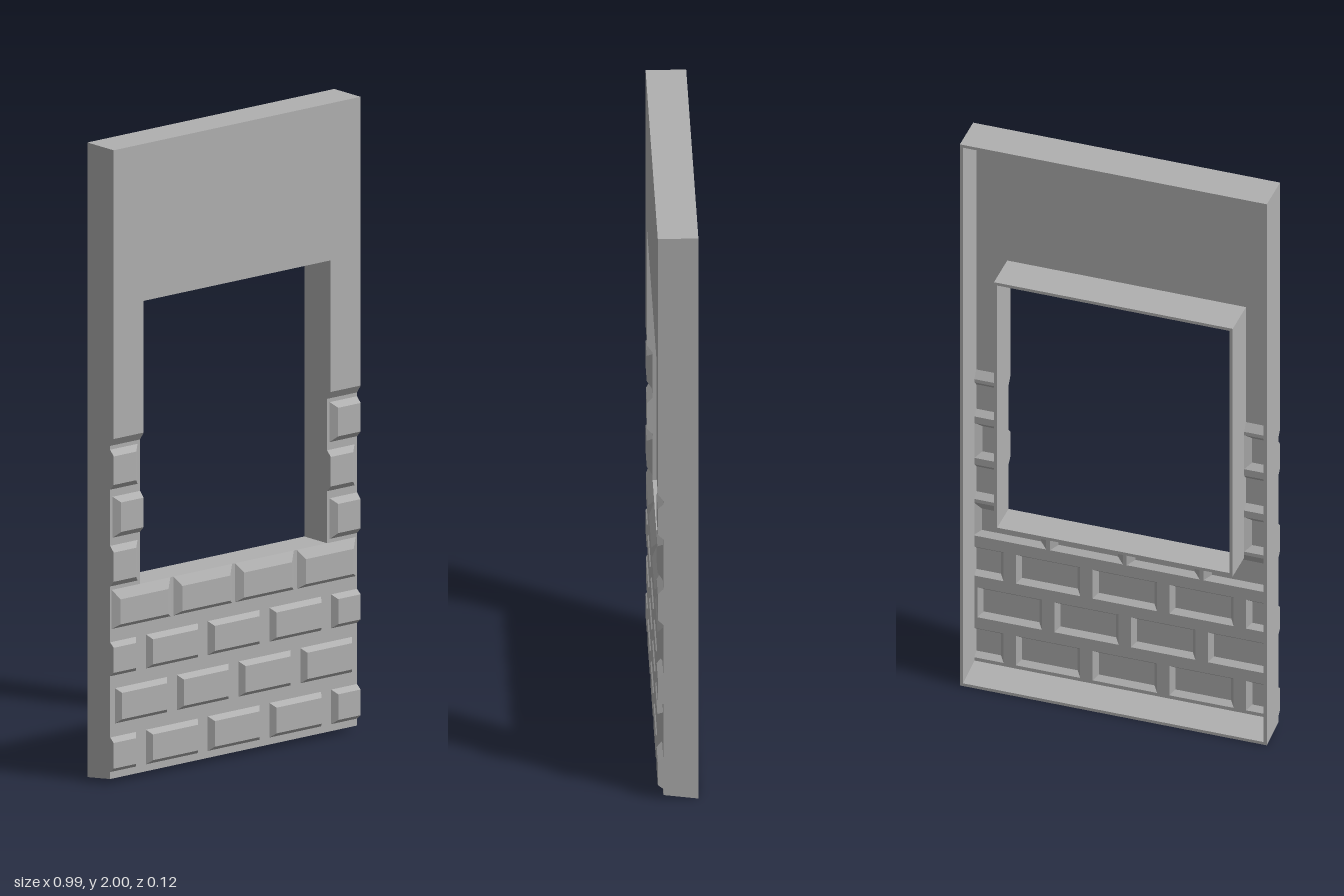
import * as THREE from 'three';

const W = 0.495, B = -0.062, F = 0.062, M = 0.045; // half width, back, brick face, mortar depth
const WX = 0.375, SILL = 0.61, HEAD = 1.505;       // window opening
const TH = 0.01;                                   // shell thickness

export function createModel() {
  const group = new THREE.Group();
  const stone = new THREE.MeshStandardMaterial({ color: 0xb0b0b0, side: THREE.DoubleSide });
  stone.name = 'grey stone';

  const add = (geometry, name) => {
    const mesh = new THREE.Mesh(geometry, stone);
    mesh.name = name;
    group.add(mesh);
  };

  // Builds a flat-shaded sheet from four-cornered faces
  const sheet = (quads, name) => {
    const pos = [];
    for (const [a, b, c, d] of quads) pos.push(...a, ...b, ...c, ...a, ...c, ...d);
    const g = new THREE.BufferGeometry();
    g.setAttribute('position', new THREE.Float32BufferAttribute(pos, 3));
    g.computeVertexNormals();
    add(g, name);
  };

  const corners = ([l, b, r, t], z) => [[l, b, z], [r, b, z], [r, t, z], [l, t, z]];
  const inset = ([l, b, r, t], m) => [l + m[0], b + m[1], r - m[2], t - m[3]];

  // One brick cell: mortar frame, sloped edge and raised face, open behind
  const brick = (cell, margin, slope) => {
    const base = inset(cell, margin), top = inset(base, slope);
    const quads = [corners(top, F)];
    const ring = (p, q, width) => {
      for (let i = 0; i < 4; i++) {
        const j = (i + 1) % 4;
        if (width[(i + 1) % 4] > 0) quads.push([p[i], p[j], q[j], q[i]]);
      }
    };
    ring(corners(cell, M), corners(base, M), margin);
    ring(corners(base, M), corners(top, F), slope);
    return quads;
  };

  // Lower brick courses
  const ys = [0.015, 0.165, 0.317, 0.465, SILL];
  const step = W / 2;
  for (let row = 0; row < 4; row++) {
    const quads = [];
    const shifted = row % 2 === 0, sill = row === 3;
    const mx = sill ? 0.006 : 0.02, sx = sill ? 0.022 : 0.014;
    for (let i = 0; i < (shifted ? 5 : 4); i++) {
      const start = -W + (i - (shifted ? 0.5 : 0)) * step;
      const l = Math.max(-W, start), r = Math.min(W, start + step);
      const cutL = shifted && i === 0, cutR = shifted && i === 4;
      const margin = [cutL ? 0 : mx, 0.022, cutR ? 0 : mx, sill ? 0 : 0.019];
      const slope = [cutL ? 0 : sx, 0.014, cutR ? 0 : sx, sill ? 0.03 : 0.014];
      quads.push(...brick([l, ys[row], r, ys[row + 1]], margin, slope));
    }
    sheet(quads, 'brickCourse' + (row + 1));
  }

  // Brick columns beside the opening, alternately flush with either edge
  const cy = [SILL, 0.762, 0.915, 1.065], RISE = 1.09;
  for (const side of [1, -1]) {
    const quads = [];
    const l = side > 0 ? WX : -W, r = side > 0 ? W : -WX;
    for (let i = 0; i < 3; i++) {
      const openLeft = (i % 2 === 0) === (side > 0);
      quads.push(...brick([l, cy[i], r, cy[i + 1]],
        [openLeft ? 0.01 : 0, 0.012, openLeft ? 0 : 0.01, 0.012],
        [openLeft ? 0.02 : 0, 0.018, openLeft ? 0 : 0.02, 0.018]));
    }
    // slope up to the plain plaster, then the plain strip
    quads.push([[l, cy[3], M], [r, cy[3], M], [r, RISE, F], [l, RISE, F]]);
    quads.push(corners([l, RISE, r, HEAD], F));
    sheet(quads, side > 0 ? 'leftPillar' : 'rightPillar');
  }
  sheet([corners([-W, HEAD, W, 2], F)], 'upperPanel');

  // Thin walls: a (z, y) profile swept along x
  const sweep = (points, x, width, name) => {
    const shape = new THREE.Shape(points.map(([z, y]) => new THREE.Vector2(z, y)));
    const g = new THREE.ExtrudeGeometry(shape, { depth: width, bevelEnabled: false });
    g.rotateY(-Math.PI / 2);
    g.translate(x + width, 0, 0);
    add(g, name);
  };
  const bump = (y0, y1, m0, m1, s) =>
    [[M, y0 + m0], [F, y0 + m0 + s], [F, y1 - m1 - s], [M, y1 - m1]];

  // Outer side walls follow the flush bricks
  const outer = [[B, 0], [M, 0.015],
    ...bump(ys[0], ys[1], 0.022, 0.019, 0.014),
    ...bump(ys[2], ys[3], 0.022, 0.019, 0.014),
    ...bump(cy[0], cy[1], 0.012, 0.012, 0.018),
    ...bump(cy[2], cy[3], 0.012, 0.012, 0.018),
    [M, cy[3]], [F, RISE], [F, 2], [B, 2]];
  sweep(outer, W - TH, TH, 'leftSideWall');
  sweep(outer, -W, TH, 'rightSideWall');

  // Window reveals
  const jamb = [[B, SILL], [M, SILL],
    ...bump(cy[1], cy[2], 0.012, 0.012, 0.018),
    [M, cy[3]], [F, RISE], [F, HEAD], [B, HEAD]];
  sweep(jamb, WX, TH, 'leftJamb');
  sweep(jamb, -WX - TH, TH, 'rightJamb');
  const slab = (y0, y1, zFront, half, name) =>
    sweep([[B, y0], [zFront, y0], [zFront, y1], [B, y1]], -half, half * 2, name);
  slab(HEAD, HEAD + TH, F, WX + TH, 'windowHead');
  slab(SILL - TH, SILL, M, WX + TH, 'windowSill');

  // Top edge and slightly sloping bottom edge
  slab(2 - TH, 2, F, W, 'topEdge');
  sweep([[B, 0], [M, 0.015], [M, 0.015 + TH], [B, TH]], -W, W * 2, 'bottomEdge');

  return group;
}
